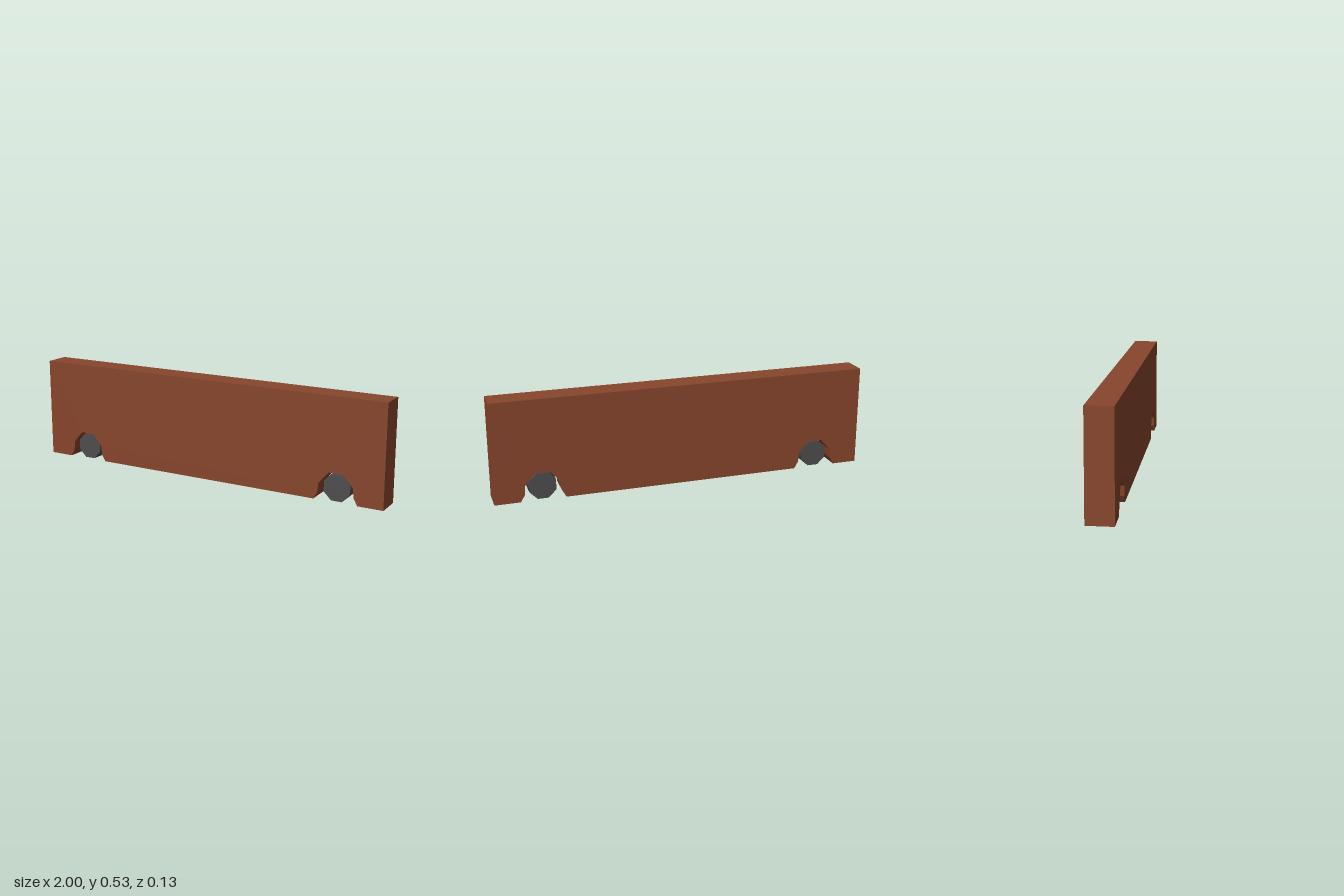
import * as THREE from 'three';

const DEPTH = 0.134, HEIGHT = 0.534, WHEEL_X = 0.75;

// Half outline of a wheel arch: offset from the wheel centre, height
const ARCH = [[0.117, 0], [0.096, 0.036], [0.091, 0.087], [0.038, 0.147]];

export function createModel() {
  const model = new THREE.Group();
  model.name = 'wheeledBoard';

  const brown = new THREE.MeshStandardMaterial({ color: 0x87452c });
  brown.name = 'brown';
  const darkGrey = new THREE.MeshStandardMaterial({ color: 0x4d4d4d });
  darkGrey.name = 'darkGrey';

  // Board with two arches cut from its lower edge
  const outline = new THREE.Shape();
  outline.moveTo(-1, 0);
  for (const cx of [-WHEEL_X, WHEEL_X]) {
    ARCH.forEach(([dx, y]) => outline.lineTo(cx - dx, y));
    [...ARCH].reverse().forEach(([dx, y]) => outline.lineTo(cx + dx, y));
  }
  outline.lineTo(1, 0);
  outline.lineTo(1, HEIGHT);
  outline.lineTo(-1, HEIGHT);
  outline.closePath();
  const boardGeometry = new THREE.ExtrudeGeometry(outline, { depth: DEPTH, bevelEnabled: false });
  boardGeometry.translate(0, 0, -DEPTH / 2);
  const board = new THREE.Mesh(boardGeometry, brown);
  board.name = 'board';
  model.add(board);

  // Eight-sided wheels resting on a flat side
  const apothem = 0.069;
  const radius = apothem / Math.cos(Math.PI / 8);
  const wheelGeometry = new THREE.CylinderGeometry(radius, radius, 0.1, 8);
  wheelGeometry.rotateY(Math.PI / 8).rotateX(Math.PI / 2);
  for (const [name, x] of [['leftWheel', WHEEL_X], ['rightWheel', -WHEEL_X]]) {
    const wheel = new THREE.Mesh(wheelGeometry, darkGrey);
    wheel.name = name;
    wheel.position.set(x, apothem, 0);
    model.add(wheel);
  }

  return model;
}
